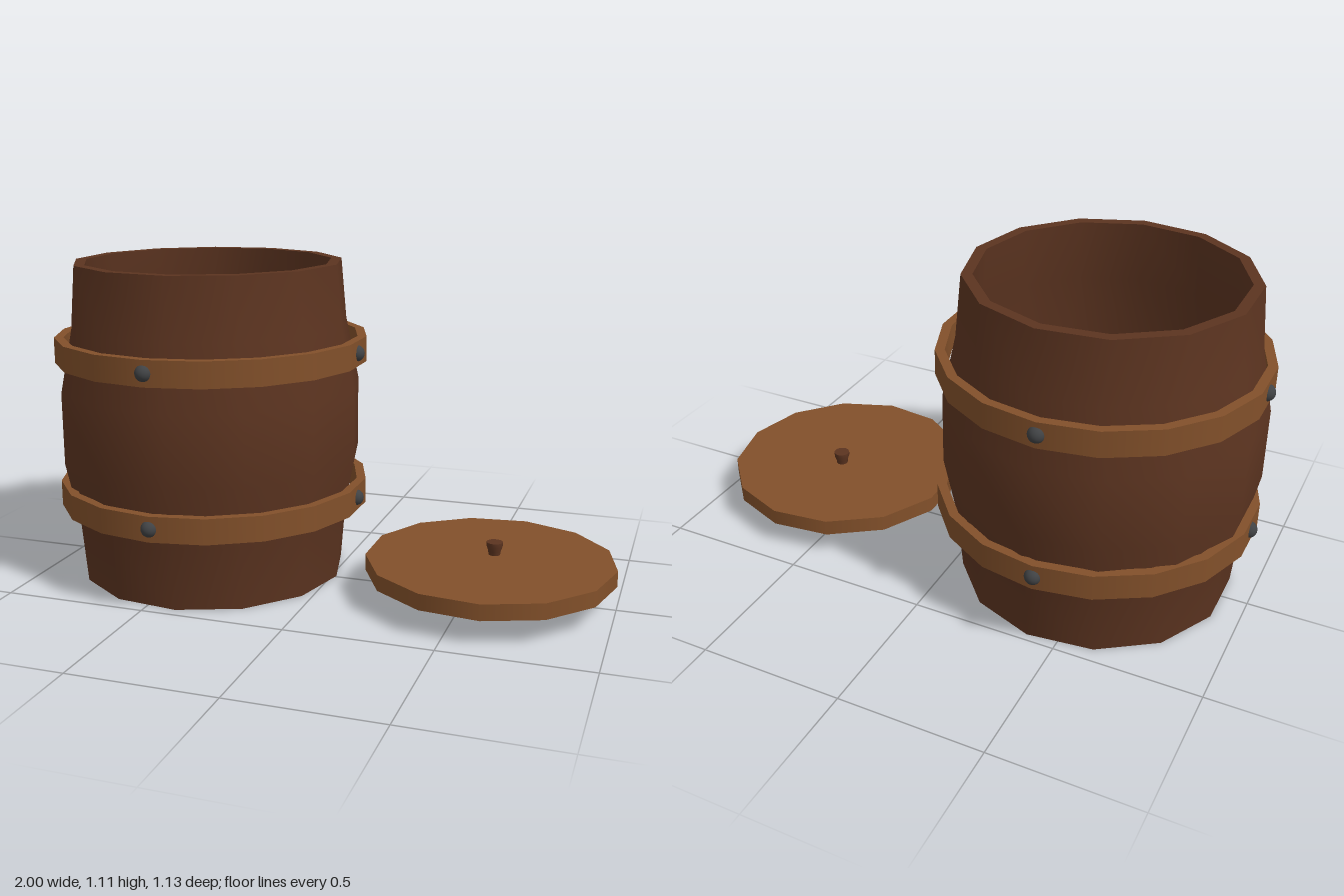
import * as THREE from 'three';
import { mergeGeometries } from 'three/addons/utils/BufferGeometryUtils.js';

const darkWood = new THREE.MeshStandardMaterial({ color: 0x5c3420 });
const lightWood = new THREE.MeshStandardMaterial({ color: 0x82502a });
const iron = new THREE.MeshStandardMaterial({ color: 0x404244 });

// Revolves several profile runs; each run is smooth, the joints between runs stay sharp.
function revolve(runs, sides, start = 0) {
  return mergeGeometries(runs.map(run => new THREE.LatheGeometry(
    run.map(([r, y]) => new THREE.Vector2(r, y)), sides, start, Math.PI * 2)));
}

function addMesh(parent, name, geometry, material, x = 0, y = 0, z = 0) {
  const mesh = new THREE.Mesh(geometry, material);
  mesh.name = name;
  mesh.position.set(x, y, z);
  parent.add(mesh);
  return mesh;
}

function createBarrel() {
  const barrel = new THREE.Group();
  barrel.name = 'barrel';

  // Hollow bulging body with a floor, open at the top
  const outer = [[0.47, 0], [0.488, 0.215], [0.533, 0.433], [0.533, 0.682], [0.488, 0.9], [0.47, 1.113]];
  const floorY = 0.04, wall = 0.037;
  const inner = outer.map(([r, y]) => [r - wall, Math.max(y, floorY)]).reverse();
  const body = revolve([
    [[0, 0], outer[0]],
    outer,
    [outer[5], inner[0]],
    inner,
    [inner[5], [0, floorY]],
  ], 13, Math.PI / 2);
  addMesh(barrel, 'body', body, darkWood, -0.452, 0, -0.007);

  // Two hoops, each with four studs
  const h = 0.044, rOut = 0.547, rIn = 0.515;
  const hoop = revolve([
    [[rIn, -h], [rOut, -h]],
    [[rOut, -h], [rOut, h]],
    [[rOut, h], [rIn, h]],
    [[rIn, h], [rIn, -h]],
  ], 18);
  const stud = new THREE.SphereGeometry(0.028, 16, 12);
  for (const [name, y] of [['lower', 0.303], ['upper', 0.815]]) {
    const group = new THREE.Group();
    group.name = name + 'Hoop';
    group.position.set(-0.442, y, -0.005);
    addMesh(group, 'hoop', hoop, lightWood);
    for (let i = 0; i < 4; i++) {
      const a = i * Math.PI / 2;
      addMesh(group, 'stud', stud, iron, 0.532 * Math.sin(a), 0, 0.538 * Math.cos(a));
    }
    barrel.add(group);
  }
  return barrel;
}

function createLid() {
  const lid = new THREE.Group();
  lid.name = 'lid';
  lid.position.set(0.574, 0, 0.007);
  // Round board
  const board = new THREE.CylinderGeometry(0.426, 0.426, 0.055, 13, 1, false, Math.PI / 2);
  addMesh(lid, 'lidBoard', board, lightWood, 0, 0.1125, 0);
  // Flared knob
  const knob = revolve([
    [[0.02, 0], [0.022, 0.014], [0.028, 0.032], [0.028, 0.046]],
    [[0.028, 0.046], [0, 0.046]],
  ], 13);
  addMesh(lid, 'lidKnob', knob, darkWood, 0.007, 0.139, -0.035);
  return lid;
}

export function createModel() {
  const model = new THREE.Group();
  model.name = 'barrelWithLid';
  model.add(createBarrel(), createLid());
  return model;
}
